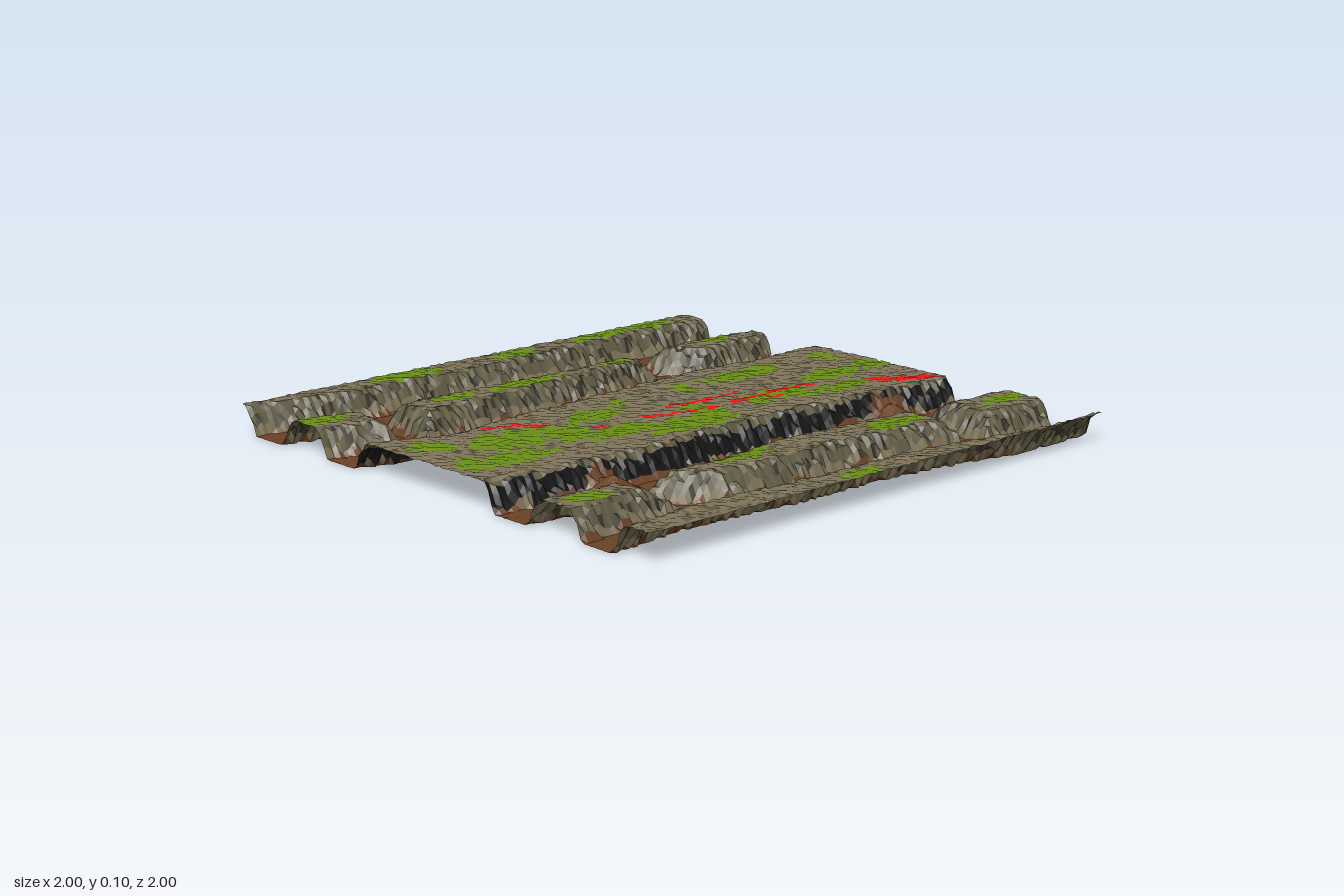
import * as THREE from 'three';

const N = 128;        // ground cells per side
const TOP = 0.094;    // plateau height
const WALL = 0.06;    // horizontal run of a trench wall

// Trench centre lines: half width of the floor, then x, z pairs
const trenches = [
  [0.075, [-0.77, -1, -0.8, -0.7, -0.79, -0.5, -0.77, -0.3, -0.76, 0, -0.77, 0.2, -0.78, 0.45, -0.78, 0.65, -0.85, 1]],
  [0.075, [-0.45, -1, -0.43, -0.7, -0.47, -0.5, -0.46, -0.3, -0.43, 0, -0.42, 0.2, -0.4, 0.5, -0.36, 0.7, -0.42, 0.85, -0.46, 1]],
  [0.075, [0.45, -1, 0.42, -0.7, 0.41, -0.4, 0.39, -0.1, 0.4, 0.1, 0.43, 0.3, 0.42, 0.55, 0.41, 0.8, 0.39, 1]],
  [0.065, [0.86, -1, 0.86, -0.7, 0.8, -0.4, 0.77, -0.1, 0.78, 0.2, 0.76, 0.45, 0.75, 0.7, 0.78, 1]],
  // cross passages
  [0.055, [-0.78, -0.45, -0.6, -0.5, -0.45, -0.65]],
  [0.04, [-0.78, 0.68, -0.36, 0.7]],
  [0.04, [0.42, -0.65, 0.86, -0.64]],
  [0.045, [0.42, 0.66, 0.58, 0.61, 0.75, 0.42]],
];

// Earth ramps against the middle plateau
const ramps = [[-0.37, -0.77], [0.34, -0.7], [0.37, 0.58], [-0.31, 0.71]];

// Grass patches: x, z, x radius, z radius
const grassPatches = [
  [-0.17, -0.9, 0.06, 0.04], [0, -0.95, 0.06, 0.06], [0.02, -0.75, 0.06, 0.15], [0.17, -0.6, 0.04, 0.15],
  [-0.18, -0.5, 0.05, 0.17], [-0.17, -0.22, 0.06, 0.04], [0.1, -0.4, 0.06, 0.15], [0.07, -0.08, 0.08, 0.06],
  [0.18, 0.05, 0.07, 0.18], [-0.17, 0.08, 0.03, 0.04], [-0.1, 0.25, 0.06, 0.12], [0.1, 0.3, 0.06, 0.15],
  [0.02, 0.45, 0.12, 0.08], [-0.05, 0.65, 0.1, 0.15], [0.12, 0.75, 0.06, 0.15], [-0.15, 0.88, 0.07, 0.07],
  [0.1, 0.9, 0.08, 0.06], [-0.64, -0.8, 0.04, 0.07], [-0.63, -0.3, 0.05, 0.1], [-0.6, 0.12, 0.05, 0.16],
  [-0.61, 0.42, 0.05, 0.1], [-0.66, 0.92, 0.05, 0.1], [0.65, -0.9, 0.04, 0.1], [0.62, -0.42, 0.05, 0.12],
  [0.58, 0.22, 0.04, 0.12], [0.6, 0.88, 0.04, 0.08], [-0.96, -0.68, 0.05, 0.25], [-0.95, -0.12, 0.05, 0.08],
  [-0.95, 0.35, 0.05, 0.14], [0.97, 0.1, 0.04, 0.08],
];

// Red streaks: half width, then x, z pairs
const streaks = [
  [0.022, [0.28, -0.96, 0.23, -0.84, 0.17, -0.78]],
  [0.011, [0.08, -0.58, 0.06, -0.45, 0.08, -0.22]],
  [0.01, [0.12, -0.4, 0.12, -0.35]],
  [0.01, [-0.01, -0.3, 0, -0.15, -0.03, 0]],
  [0.01, [0.08, -0.14, 0.07, -0.02, 0.03, 0.13]],
  [0.011, [0.01, 0.34, 0.04, 0.31]],
  [0.011, [-0.12, 0.45, -0.17, 0.5, -0.21, 0.62]],
  [0.012, [-0.89, 0.86, -0.91, 0.96]],
];

const hash = (i, j) => {
  const s = Math.sin(i * 127.1 + j * 311.7 + 7.3) * 43758.5453;
  return s - Math.floor(s);
};

// Distance from a point to a polyline of x, z pairs
function lineDistance(x, z, p) {
  let best = Infinity;
  for (let k = 0; k + 3 < p.length; k += 2) {
    const dx = p[k + 2] - p[k], dz = p[k + 3] - p[k + 1];
    const t = THREE.MathUtils.clamp(((x - p[k]) * dx + (z - p[k + 1]) * dz) / (dx * dx + dz * dz), 0, 1);
    best = Math.min(best, Math.hypot(x - p[k] - t * dx, z - p[k + 1] - t * dz));
  }
  return best;
}

// Distance to the nearest trench floor edge, negative on the floor
const floorDistance = (x, z) =>
  Math.min(...trenches.map(([half, path]) => lineDistance(x, z, path) - half));

const rampAt = (x, z) =>
  Math.max(...ramps.map(([rx, rz]) => 1 - Math.hypot(x - rx, z - rz) / 0.1));

function groundHeight(x, z, i, j) {
  const d = floorDistance(x, z) + (hash(i, j) - 0.5) * 0.016;
  const t = THREE.MathUtils.clamp(d / WALL, 0, 1);
  const rough = hash(j + 50, i) * 0.006;
  const floor = Math.max(0, rampAt(x, z)) * 0.06 + (t === 0 ? rough * 0.3 : 0);
  const wall = TOP * (1 - Math.pow(1 - t, 1.5)) + (t > 0 ? rough * t : 0);
  return Math.max(floor, wall);
}

// Which part of the landscape a cell belongs to
function partAt(x, z, i, j) {
  const d = floorDistance(x, z);
  if (d < 0.004 || (rampAt(x, z) > 0.25 && d < 0.04)) return 'trenchFloor';
  if (d < WALL) {
    const inner = Math.abs(x) < 0.41 && d > 0.008 && d < 0.042;
    if (inner) return 'innerCliff';
    if (d < 0.016) return 'plateauStone';
    return hash(i + 9, j * 3) < 0.18 ? 'rockCrack' : 'rockWall';
  }
  if (streaks.some(([half, path]) => lineDistance(x, z, path) < half)) return 'redStreak';
  const edge = 1 + (hash(i >> 1, j >> 1) - 0.5) * 0.5;
  if (grassPatches.some(([gx, gz, rx, rz]) => Math.hypot((x - gx) / rx, (z - gz) / rz) < edge)) return 'grass';
  // short diagonal scratches in the stone
  const scratch = hash((i + j) >> 2, (i - j) >> 1) < 0.08 && Math.abs(x) < 0.25;
  return scratch || (Math.abs(x) > 0.45 && hash(i, j + 5) < 0.25) ? 'rockWall' : 'plateauStone';
}

const colors = {
  trenchFloor: 0x6b4226,
  plateauStone: 0x7d7258,
  rockWall: 0x625c45,
  rockCrack: 0x38352a,
  innerCliff: 0x151515,
  grass: 0x688c17,
  redStreak: 0xee1111,
};

export function createModel() {
  const group = new THREE.Group();
  group.name = 'trenchLandscape';

  const at = (k) => -1 + (2 * k) / N;
  const heights = [];
  for (let j = 0; j <= N; j++)
    for (let i = 0; i <= N; i++) heights.push(groundHeight(at(i), at(j), i, j));
  const corner = (i, j) => [at(i), heights[j * (N + 1) + i], at(j)];

  // Sort the ground cells into one surface per part
  const surfaces = Object.fromEntries(Object.keys(colors).map((name) => [name, []]));
  for (let j = 0; j < N; j++) {
    for (let i = 0; i < N; i++) {
      const a = corner(i, j), b = corner(i, j + 1), c = corner(i + 1, j + 1), d = corner(i + 1, j);
      surfaces[partAt(at(i + 0.5), at(j + 0.5), i, j)].push(...a, ...b, ...d, ...b, ...c, ...d);
    }
  }

  for (const [name, positions] of Object.entries(surfaces)) {
    const geometry = new THREE.BufferGeometry();
    geometry.setAttribute('position', new THREE.Float32BufferAttribute(positions, 3));
    geometry.computeVertexNormals();
    const material = new THREE.MeshStandardMaterial({ color: colors[name], flatShading: true, side: THREE.DoubleSide });
    const mesh = new THREE.Mesh(geometry, material);
    mesh.name = name;
    group.add(mesh);
  }
  return group;
}
